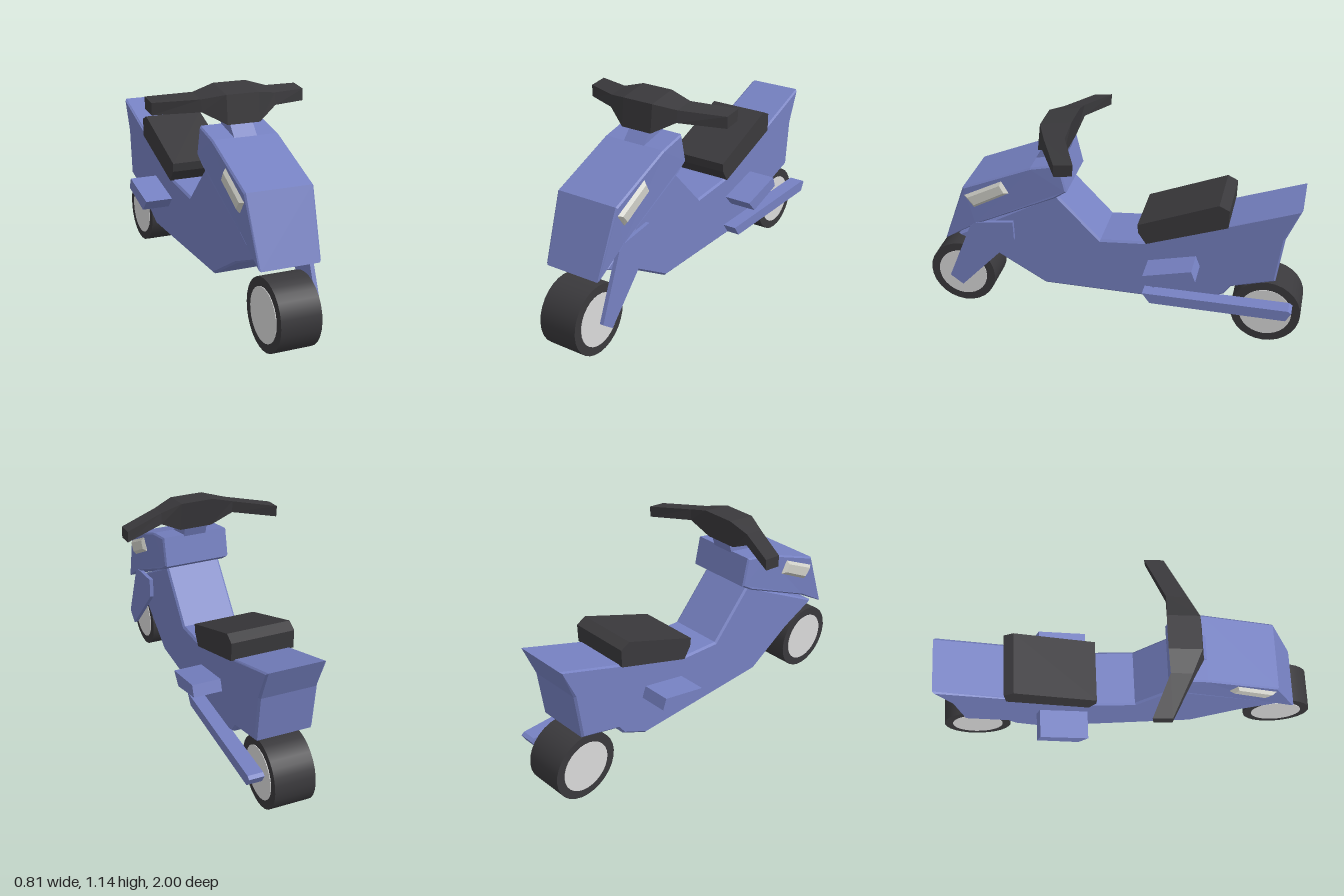
import * as THREE from 'three';

const paint = new THREE.MeshStandardMaterial({ color: 0x7681c2 });
paint.name = 'bluePaint';
const rubber = new THREE.MeshStandardMaterial({ color: 0x3a393c });
rubber.name = 'blackRubber';
const metal = new THREE.MeshStandardMaterial({ color: 0xdadada });
metal.name = 'paleMetal';
const glass = new THREE.MeshStandardMaterial({ color: 0xd0d0c8 });
glass.name = 'lampGlass';

// Side profile of [z, y] points extruded across x, with an optional bevelled rim
function prism(points, x0, x1, bevelSize = 0, bevelThickness = bevelSize) {
  const shape = new THREE.Shape(points.map(([z, y]) => new THREE.Vector2(-z, y)));
  const geo = new THREE.ExtrudeGeometry(shape, {
    depth: x1 - x0 - 2 * bevelThickness,
    bevelEnabled: bevelSize > 0,
    bevelSize, bevelThickness, bevelOffset: -bevelSize, bevelSegments: 1,
  });
  geo.translate(0, 0, x0 + bevelThickness);
  return geo.rotateY(Math.PI / 2);
}

// Four-cornered cross-sections joined along x; corners run front-bottom, front-top, back-top, back-bottom
function loft(sections) {
  const pos = [];
  const quad = (a, b, c, d) => pos.push(...a, ...b, ...c, ...a, ...c, ...d);
  for (let i = 0; i < sections.length - 1; i++) {
    const s = sections[i], t = sections[i + 1];
    for (let j = 0; j < 4; j++) {
      const k = (j + 1) % 4;
      quad(s[j], t[j], t[k], s[k]);
    }
  }
  const first = sections[0], last = sections[sections.length - 1];
  quad(first[0], first[1], first[2], first[3]);
  quad(last[3], last[2], last[1], last[0]);
  const geo = new THREE.BufferGeometry();
  geo.setAttribute('position', new THREE.Float32BufferAttribute(pos, 3));
  geo.computeVertexNormals();
  return geo;
}

export function createModel() {
  const model = new THREE.Group();
  const add = (name, geo, mat, parent = model) => {
    const mesh = new THREE.Mesh(geo, mat);
    mesh.name = name;
    parent.add(mesh);
    return mesh;
  };

  // Wheels: wide tyre with a pale disc on each side
  for (const [name, z] of [['frontWheel', 0.82], ['rearWheel', -0.82]]) {
    const wheel = new THREE.Group();
    wheel.name = name;
    wheel.position.set(0, 0.18, z);
    add('tyre', new THREE.CylinderGeometry(0.18, 0.18, 0.208, 28).rotateZ(Math.PI / 2), rubber, wheel);
    add('hub', new THREE.CylinderGeometry(0.135, 0.135, 0.214, 28).rotateZ(Math.PI / 2), metal, wheel);
    model.add(wheel);
  }

  // Main body with step-through floor and upswept tail
  add('body', prism([
    [0.27, 0.76], [0.04, 0.52], [-0.19, 0.54], [-0.96, 0.825], [-0.89, 0.65], [-0.86, 0.40],
    [-0.64, 0.335], [-0.605, 0.285], [-0.46, 0.21], [0.34, 0.21], [0.60, 0.36], [0.81, 0.45],
  ], -0.147, 0.147, 0.01), paint);

  // Front fairing, narrowing towards its lower edge
  const fairing = prism([
    [0.88, 0.42], [0.755, 0.755], [0.39, 0.91], [0.24, 0.945], [0.205, 0.795], [0.27, 0.75], [0.70, 0.535],
  ], -0.176, 0.176, 0.008);
  const p = fairing.attributes.position;
  for (let i = 0; i < p.count; i++) {
    const t = THREE.MathUtils.clamp((0.7 - p.getY(i)) / 0.28, 0, 1);
    p.setX(i, p.getX(i) * (1 - 0.11 * t));
  }
  fairing.computeVertexNormals();
  add('frontFairing', fairing, paint);

  // Steering neck
  add('neck', prism([[0.40, 0.90], [0.32, 0.99], [0.22, 0.99], [0.25, 0.90]], -0.06, 0.06), paint);

  // Handlebar swept back to both grips
  const stations = [
    [0.405, [[1.01, 0.20], [1.07, 0.20], [1.082, 0.105], [1.022, 0.11]]],
    [0.195, [[1.03, 0.315], [1.09, 0.305], [1.106, 0.20], [1.045, 0.20]]],
    [0.085, [[0.97, 0.372], [1.113, 0.356], [1.14, 0.195], [0.985, 0.22]]],
  ];
  const section = (sx) => ([x, corners]) => corners.map(([y, z]) => [sx * x, y, z]);
  add('handlebar', loft([
    ...stations.map(section(-1)),
    ...stations.slice().reverse().map(section(1)),
  ]), rubber);

  // Seat
  add('seat', prism([
    [-0.155, 0.645], [-0.56, 0.81], [-0.612, 0.785], [-0.61, 0.69], [-0.20, 0.54], [-0.16, 0.60],
  ], -0.16, 0.16), rubber);

  // Headlamps and foot pegs on both sides
  const lamp = [[0.75, 0.71], [0.545, 0.818], [0.51, 0.75], [0.70, 0.645]];
  const peg = [[-0.21, 0.435], [-0.455, 0.496], [-0.477, 0.438], [-0.265, 0.375]];
  for (const [side, s] of [['left', 1], ['right', -1]]) {
    const span = (a, b) => (s > 0 ? [a, b] : [-b, -a]);
    add(side + 'Headlamp', prism(lamp, ...span(0.15, 0.19), 0.016, 0.016), glass);
    add(side + 'FootPeg', prism(peg, ...span(0.13, 0.294)), paint);
  }

  // Single-sided fork blade and exhaust
  add('forkBlade', prism([
    [0.735, 0.52], [0.70, 0.548], [0.50, 0.575], [0.497, 0.47], [0.80, 0.145], [0.868, 0.195],
  ], 0.146, 0.167), paint);
  add('exhaust', prism([
    [-0.195, 0.275], [-0.94, 0.28], [-0.957, 0.268], [-0.93, 0.22], [-0.235, 0.22],
  ], 0.14, 0.218), paint);

  return model;
}
